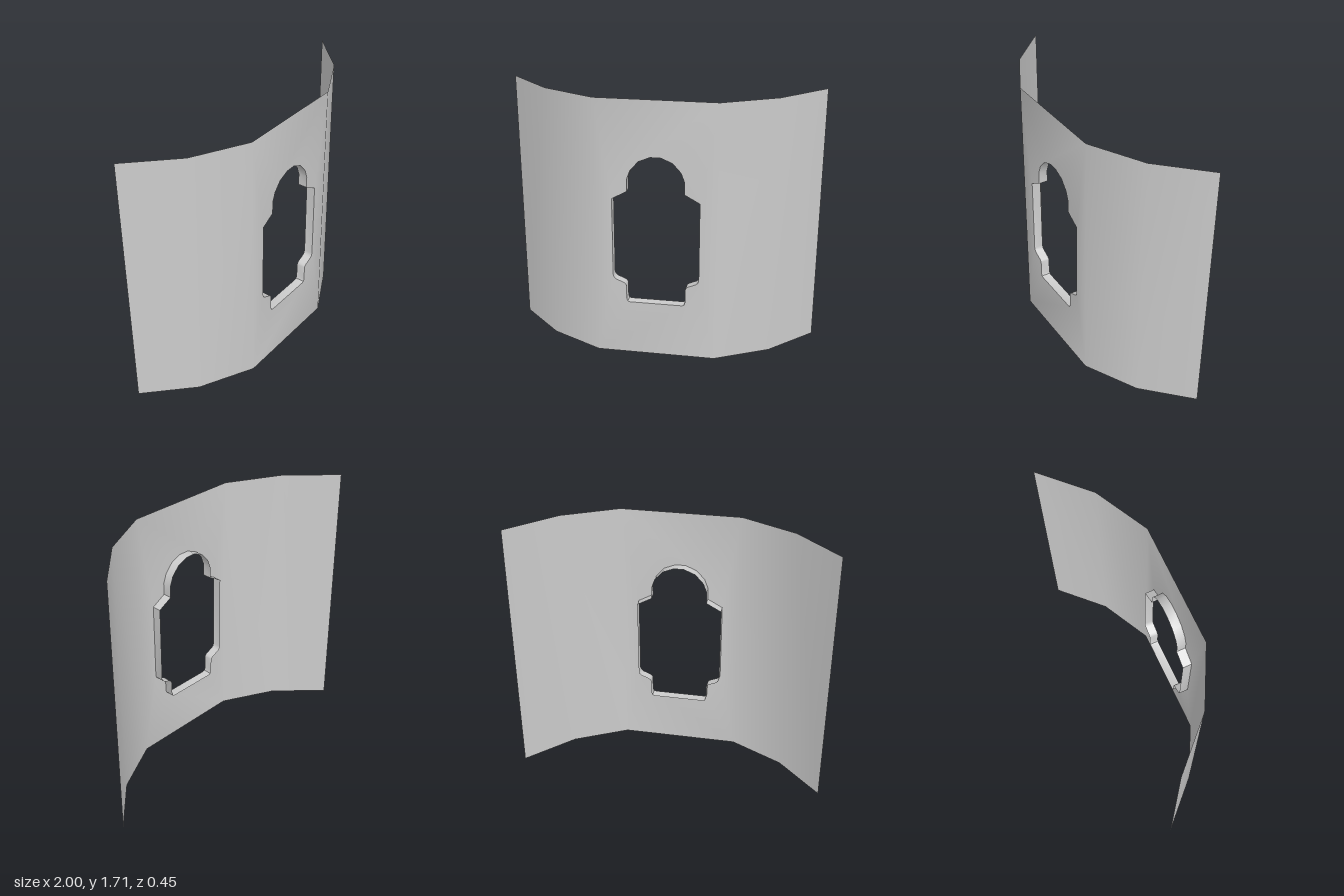
import * as THREE from 'three';
import { mergeGeometries, mergeVertices, toCreasedNormals } from 'three/addons/utils/BufferGeometryUtils.js';

const HEIGHT = 1.707;
const FRONT = 0.225; // z of the flat middle
const RIM = 0.06; // depth of the rim behind the panel

// plan of one side of the curved panel, from the flat middle outward: x, z
const PLAN = [[0.382, FRONT], [0.724, 0.049], [1, -0.225]];

// right half of the opening, bottom to top
const HALF = [
  [0.17, 0.366], [0.182, 0.371], [0.188, 0.386], [0.19, 0.482], [0.195, 0.493], [0.207, 0.502],
  [0.255, 0.522], [0.269, 0.534], [0.275, 0.552], [0.275, 1.07], [0.18, 1.123], [0.18, 1.2],
  [0.157, 1.262], [0.105, 1.32], [0.033, 1.35],
];

// quads between consecutive points, from one end to the other
function strip(from, to, closed) {
  const pos = [], n = from.length;
  for (let i = 0; i < (closed ? n : n - 1); i++) {
    const j = (i + 1) % n;
    pos.push(...from[i], ...from[j], ...to[j], ...from[i], ...to[j], ...to[i]);
  }
  const geo = new THREE.BufferGeometry();
  geo.setAttribute('position', new THREE.Float32BufferAttribute(pos, 3));
  return geo;
}

export function createModel() {
  const group = new THREE.Group();
  const material = new THREE.MeshStandardMaterial({ color: 0xcccccc, side: THREE.DoubleSide });
  const outline = [...HALF, ...HALF.map(([x, y]) => [-x, y]).reverse()];

  // flat middle with the opening
  const w = PLAN[0][0];
  const shape = new THREE.Shape([[-w, 0], [w, 0], [w, HEIGHT], [-w, HEIGHT]].map(p => new THREE.Vector2(...p)));
  shape.holes.push(new THREE.Path(outline.map(p => new THREE.Vector2(...p))));
  const middle = new THREE.ShapeGeometry(shape).translate(0, 0, FRONT).toNonIndexed();
  middle.deleteAttribute('normal');
  middle.deleteAttribute('uv');

  // swept-back wings on both sides, smoothed together with the middle
  const wings = [1, -1].map(side => {
    const plan = side > 0 ? PLAN : PLAN.map(([x, z]) => [-x, z]).reverse();
    return strip(plan.map(([x, z]) => [x, 0, z]), plan.map(([x, z]) => [x, HEIGHT, z]), false);
  });
  const panelGeo = mergeVertices(mergeGeometries([middle, ...wings]));
  panelGeo.computeVertexNormals();
  const panel = new THREE.Mesh(panelGeo, material);
  panel.name = 'curvedPanel';

  // thin rim around the opening, running backward
  const rimGeo = strip(
    outline.map(([x, y]) => [x, y, FRONT]),
    outline.map(([x, y]) => [x, y, FRONT - RIM]), true);
  const rim = new THREE.Mesh(toCreasedNormals(rimGeo, 0.75), material);
  rim.name = 'openingRim';

  group.add(panel, rim);
  return group;
}
